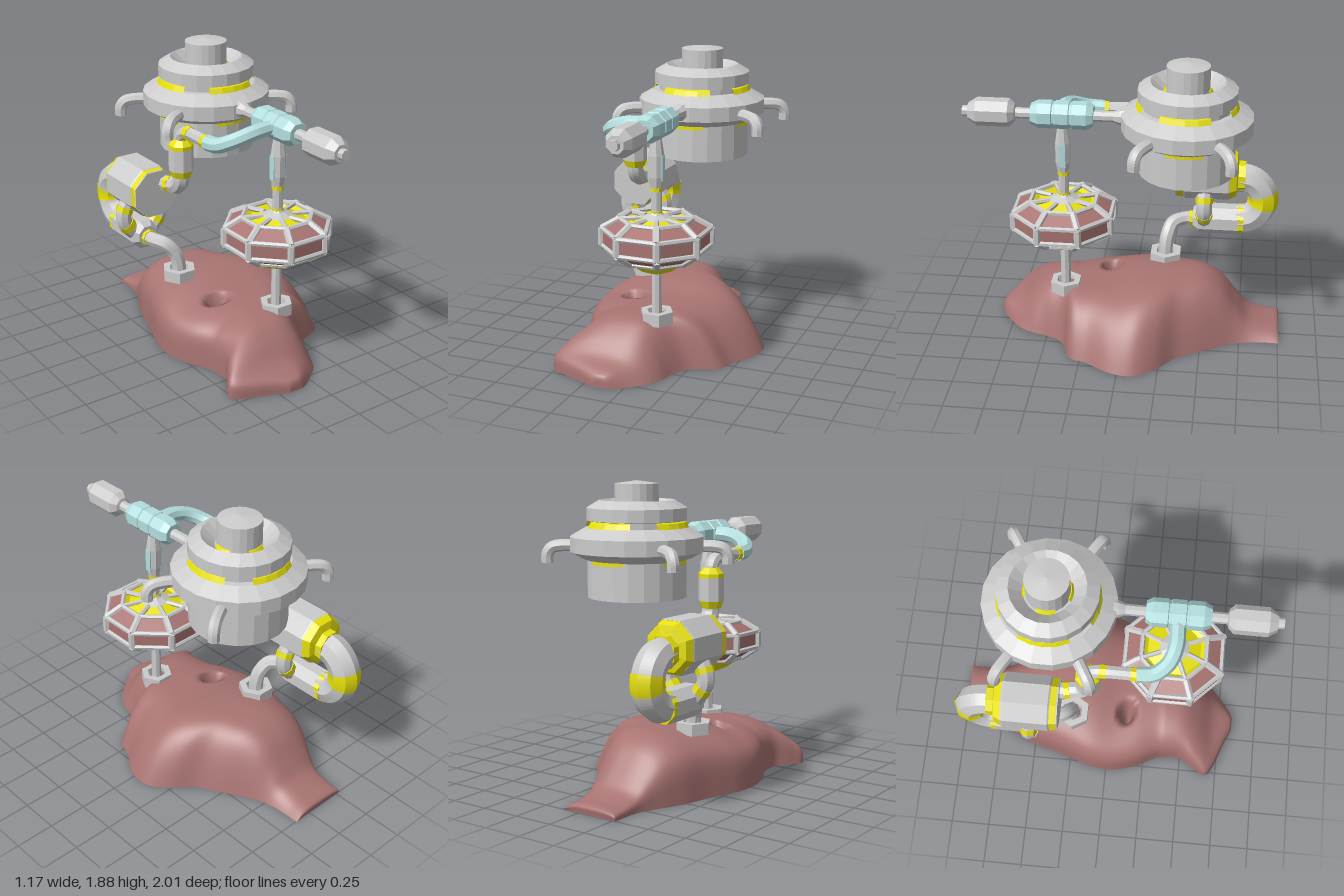
import * as THREE from 'three';

const V = (x, y, z) => new THREE.Vector3(x, y, z);
const flat = (color) => new THREE.MeshStandardMaterial({ color, flatShading: true, side: THREE.DoubleSide });
const grey = flat(0xcccccc), yellow = flat(0xe6e00a), cyan = flat(0xb4dede), pink = flat(0xa87472);
const rock = new THREE.MeshStandardMaterial({ color: 0xa87472, side: THREE.DoubleSide });

export function createModel() {
  const model = new THREE.Group();
  const add = (name, geo, mat, parent = model) => {
    const m = new THREE.Mesh(geo, mat);
    m.name = name;
    parent.add(m);
    return m;
  };
  // profile of [radius, height] pairs turned around y; sides are flat facing the front
  const turn = (pts, sides, start = Math.PI / sides, len = Math.PI * 2) =>
    new THREE.LatheGeometry(pts.map(p => new THREE.Vector2(p[0], p[1])), sides, start, len);
  const pipe = (pts, r, sides = 8) =>
    new THREE.TubeGeometry(new THREE.CatmullRomCurve3(pts), pts.length * 5, r, sides);
  // straight bar between two points
  const bar = (name, a, b, r, mat, parent, sides = 8) => {
    const m = add(name, new THREE.CylinderGeometry(r, r, a.distanceTo(b), sides), mat, parent);
    m.position.copy(a).lerp(b, 0.5);
    m.quaternion.setFromUnitVectors(V(0, 1, 0), b.clone().sub(a).normalize());
    return m;
  };

  // mound: loops across x, swept along z; each row is [z, xMin, xMax, height]
  const rows = [
    [-1, -.27, .12, 0], [-.998, -.27, .12, .05], [-.9, -.27, .12, .07], [-.8, -.28, .13, .11],
    [-.72, -.31, .15, .2], [-.62, -.36, .2, .32], [-.5, -.41, .27, .385], [-.35, -.45, .36, .4],
    [-.23, -.49, .5, .4], [-.1, -.53, .58, .385], [.05, -.54, .56, .35], [.2, -.5, .47, .34],
    [.32, -.44, .42, .335], [.39, -.42, .26, .33], [.5, -.42, .19, .31], [.6, -.48, .16, .24],
    [.7, -.51, .1, .14], [.8, -.28, -.02, .09], [.835, -.2, -.08, .06], [.84, -.19, -.09, 0]];
  const spanCurve = new THREE.CatmullRomCurve3(rows.map(r => V(r[1], r[2], r[3])), false, 'catmullrom');
  const zCurve = new THREE.CatmullRomCurve3(rows.map(r => V(r[0], 0, 0)), false, 'catmullrom');
  const NU = 114, NA = 56, pos = [], idx = [];
  for (let i = 0; i <= NU; i++) {
    const s = spanCurve.getPoint(i / NU), z = zCurve.getPoint(i / NU).x;
    for (let j = 0; j <= NA; j++) {
      const t = Math.cos(Math.PI * j / NA);
      const x = (s.x + s.y) / 2 + t * (s.y - s.x) / 2;
      // steep on the left, long slope on the right
      let y = Math.max(0, s.z) * Math.pow(Math.max(0, 1 - Math.abs(t) ** 3), .62 + .38 * t);
      // small pit in the top
      y *= 1 - .95 * Math.exp(-Math.pow(((x + .22) / .055) ** 2 + ((z - .115) / .04) ** 2, 1.5));
      pos.push(x, y, z);
      if (i < NU && j < NA) {
        const a = i * (NA + 1) + j, b = a + NA + 1;
        idx.push(b + 1, a + 1, b, b, a + 1, a);
      }
    }
  }
  const moundGeo = new THREE.BufferGeometry();
  moundGeo.setAttribute('position', new THREE.Float32BufferAttribute(pos, 3));
  moundGeo.setIndex(idx);
  moundGeo.computeVertexNormals();
  add('mound', moundGeo, rock);

  // vessel, open underneath
  const vessel = new THREE.Group();
  vessel.name = 'vessel';
  vessel.position.set(.042, 0, -.378);
  model.add(vessel);
  add('vesselBody', turn([[.299, 1.185], [.299, 1.41], [.33, 1.42], [.402, 1.46], [.402, 1.55], [.31, 1.603], [.275, 1.605],
    [.275, 1.64], [.302, 1.645], [.302, 1.72], [.227, 1.765], [.145, 1.69], [.132, 1.69], [.132, 1.862], [0, 1.88]], 20), grey, vessel);
  for (let k = 0; k < 4; k++) {
    const band = (name, pts, half) =>
      add(name, turn(pts, 4, k * Math.PI / 2 - half, half * 2), yellow, vessel);
    band('upperBand', [[.312, 1.604], [.298, 1.635], [.28, 1.642]], .52);
    band('lowerBand', [[.304, 1.39], [.304, 1.42]], .38);
    band('lidBand', [[.15, 1.7], [.138, 1.72], [.132, 1.72]], .4);
    // hooked arms
    const ang = (k < 2 ? 0 : Math.PI) + (k % 2 ? 1 : -1) * .54;
    const at = (r, y) => V(Math.cos(ang) * r, y, Math.sin(ang) * r);
    add('hookArm', pipe([at(.36, 1.49), at(.46, 1.49), at(.515, 1.477), at(.543, 1.44), at(.546, 1.385)], .037), grey, vessel);
  }

  // front nozzle along z
  const nozzle = new THREE.Group();
  nozzle.name = 'nozzle';
  nozzle.position.set(.042, 1.515, 0);
  nozzle.rotation.x = Math.PI / 2;
  model.add(nozzle);
  add('nozzleRod', turn([[.055, 0], [.05, .03], [.034, .07], [.034, .68]], 8), grey, nozzle);
  add('nozzleBarrel', turn([[.034, .67], [.055, .675], [.088, .71], [.088, .91], [.055, .962], [.033, .962], [.033, 1], [0, 1]], 8), grey, nozzle);
  add('nozzleSleeve', turn([[.034, .19], [.065, .19], [.087, .23], [.087, .32], [.08, .325], [.08, .335], [.087, .34], [.087, .425],
    [.08, .43], [.08, .44], [.087, .445], [.087, .53], [.065, .575], [.034, .575]], 8), cyan, nozzle);

  // post and wheel
  const stand = new THREE.Group();
  stand.name = 'stand';
  stand.position.set(.042, 0, .386);
  model.add(stand);
  add('upperPost', turn([[.033, .95], [.033, 1.12], [.048, 1.2], [.048, 1.33], [.033, 1.43], [.033, 1.47]], 8), grey, stand);
  for (const s of [-1, 1]) {
    const p = add('postInset', new THREE.BoxGeometry(.008, .15, .042), cyan, stand);
    p.position.set(s * .044, 1.255, 0);
  }
  for (const y of [.98, 1.125]) bar('postCollar', V(0, y - .012, 0), V(0, y + .012, 0), .037, yellow, stand);
  bar('lowerPost', V(0, .3, 0), V(0, .66, 0), .032, grey, stand);
  const socket = (name, x, y0, y1, z, r, parent) =>
    add(name, turn([[r, y0], [r, y1], [r * .6, y1], [r * .55, y1 - .05]], 6), grey, parent).position.set(x, 0, z);
  socket('postSocket', 0, .28, .357, 0, .105, stand);
  const rim = [[.22, .703], [.329, .778], [.329, .882], [.22, .942]];
  add('wheelPanels', turn(rim, 8), pink, stand);
  add('wheelUnderside', turn([[.03, .6], [.055, .605], [.125, .635], [.215, .7]], 8), yellow, stand);
  add('wheelTop', turn([[.22, .94], [.18, .915], [.1, .945]], 8), yellow, stand);
  add('wheelHub', turn([[.1, .93], [.1, .945], [.045, .97], [.033, .985]], 8), grey, stand);
  for (let k = 0; k < 8; k++) {
    const at = (p, n) => {
      const a = (k + n + .5) * Math.PI / 4;
      return V(Math.sin(a) * p[0], p[1], Math.cos(a) * p[0]);
    };
    rim.forEach((p, i) => {
      bar('wheelHoop', at(p, 0), at(p, 1), .016, grey, stand, 6);
      if (i < 3) bar('wheelRib', at(p, 0), at(rim[i + 1], 0), .023, grey, stand, 6);
    });
    bar('wheelSpoke', at(rim[3], 0), at([.09, .945], 0), .016, grey, stand, 6);
  }

  // hose from the nozzle round to the upright canister
  add('hoseBend', pipe([V(-.04, 1.515, .385), V(-.15, 1.505, .385), V(-.25, 1.47, .35), V(-.31, 1.43, .27), V(-.32, 1.42, .17)], .048), cyan);
  bar('hoseJoint', V(.02, 1.515, .385), V(-.05, 1.515, .385), .045, grey);
  add('hose', pipe([V(-.32, 1.42, .18), V(-.32, 1.42, -.02), V(-.32, 1.4, -.09), V(-.32, 1.36, -.12), V(-.32, 1.3, -.12)], .04), grey);
  for (const z of [.155, -.03]) bar('hoseCollar', V(-.32, 1.42, z - .02), V(-.32, 1.42, z + .02), .044, yellow);
  add('canister', turn([[.078, 1.16], [.078, 1.3]], 8), grey).position.set(-.32, 0, -.12);
  add('canisterTop', turn([[.078, 1.3], [.078, 1.325], [.045, 1.36], [.035, 1.36]], 8), yellow).position.set(-.32, 0, -.12);
  add('canisterBottom', turn([[.045, 1.115], [.06, 1.115], [.078, 1.16]], 8), yellow).position.set(-.32, 0, -.12);
  add('elbowPipe', pipe([V(-.32, 1.14, -.12), V(-.32, 1.08, -.13), V(-.32, 1.035, -.17), V(-.32, 1.02, -.23), V(-.33, 1.01, -.31)], .053), grey);
  bar('elbowCollar', V(-.32, 1.02, -.235), V(-.325, 1.015, -.27), .056, yellow);

  // tank lying along z, with U-bend and return pipe
  const alongZ = (name, pts, y, mat) => {
    const m = add(name, turn(pts, 8), mat);
    m.position.set(-.4, y, 0);
    m.rotation.x = Math.PI / 2;
  };
  alongZ('tank', [[.168, -.645], [.172, -.635], [.172, -.355], [.164, -.345]], .955, grey);
  alongZ('tankFront', [[.16, -.305], [.16, -.295], [0, -.295]], .955, grey);
  alongZ('tankBandFront', [[.164, -.347], [.162, -.305]], .955, yellow);
  alongZ('tankBandRear', [[.09, -.7], [.145, -.69], [.167, -.645]], .955, yellow);
  alongZ('bendCollarTop', [[.09, -.745], [.102, -.745], [.102, -.68], [.09, -.68]], .94, yellow);
  alongZ('bendCollarBottom', [[.09, -.745], [.102, -.745], [.102, -.705], [.09, -.705]], .625, yellow);
  alongZ('returnPipe', [[.102, -.72], [.102, -.45], [.07, -.41], [0, -.41]], .622, grey);
  const bend = (t0, t1) => Array.from({ length: 7 }, (_, i) => {
    const a = t0 + (t1 - t0) * i / 6;
    return V(-.4, .783 + .157 * Math.cos(a), -.71 - .157 * Math.sin(a));
  });
  add('uBend', pipe(bend(0, Math.PI), .097), grey);
  add('uBendBand', pipe(bend(1.28, 1.86), .101), yellow);
  for (const s of [-1, 1]) {
    add('sideLink', pipe([V(-.4 + s * .1, .86, -.485), V(-.4 + s * .13, .79, -.485), V(-.4 + s * .125, .72, -.485),
      V(-.4 + s * .05, .63, -.485)], .052), grey);
    bar('linkCollarTop', V(-.4 + s * .118, .83, -.485), V(-.4 + s * .13, .795, -.485), .057, yellow);
    bar('linkCollarBottom', V(-.4 + s * .12, .715, -.485), V(-.4 + s * .095, .68, -.485), .057, yellow);
  }

  // foot pipe down to the mound
  add('footPipe', pipe([V(-.4, .615, -.43), V(-.395, .615, -.36), V(-.35, .6, -.28), V(-.3, .54, -.25), V(-.28, .47, -.24),
    V(-.275, .37, -.24)], .046), grey);
  bar('footPipeCollar', V(-.4, .615, -.415), V(-.398, .615, -.385), .052, yellow);
  socket('footSocket', -.275, .36, .432, -.24, .112, model);

  return model;
}
